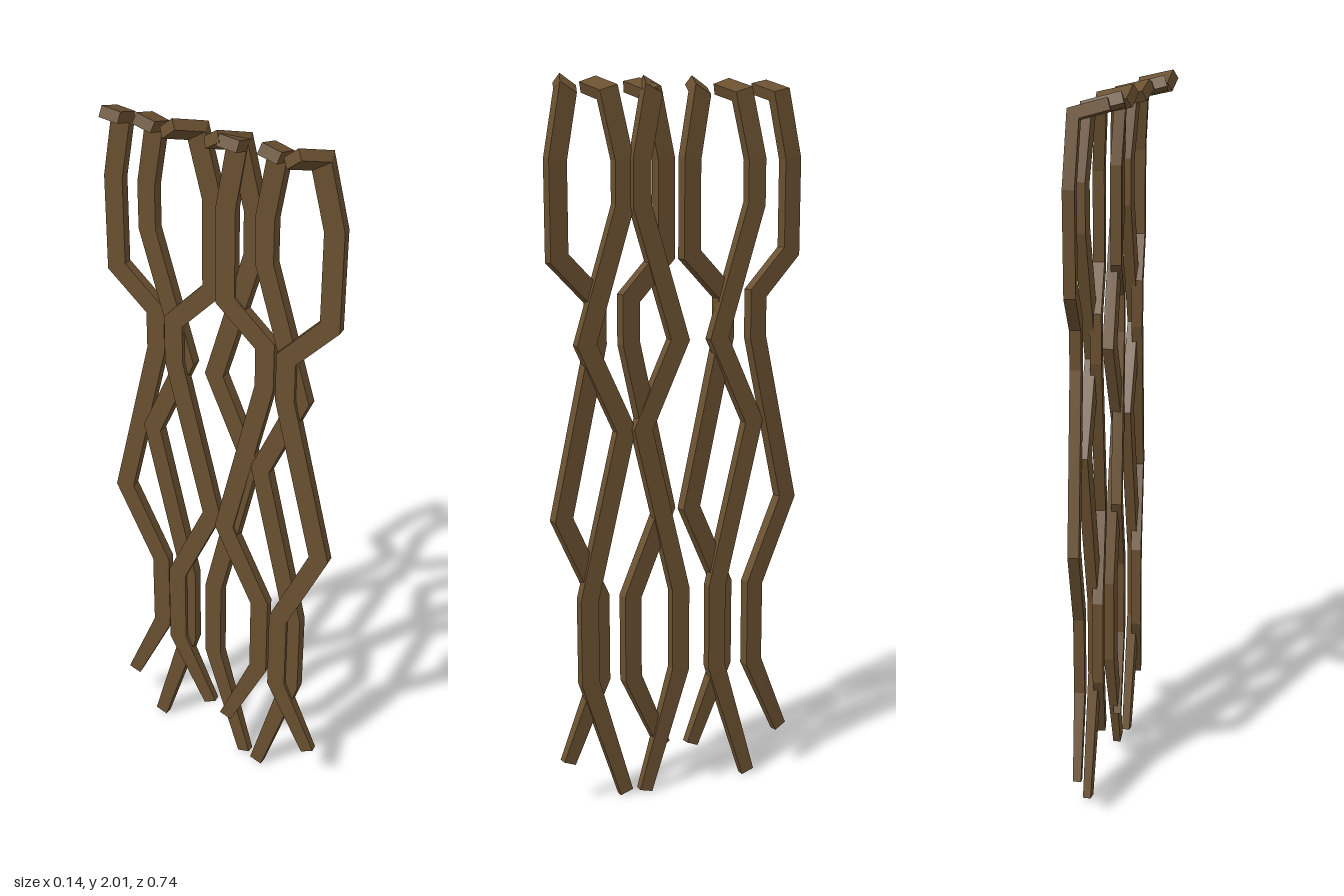
import * as THREE from 'three';

const WIDTH = 0.053, THICK = 0.03;

// Sweeps a rectangular bar along a polyline with mitred corners; the first ring is tapered.
function mitredBar(points, widthDir, taper) {
  const dirs = points.slice(1).map((p, i) => p.clone().sub(points[i]).normalize());
  const w = widthDir.clone().addScaledVector(dirs[0], -widthDir.dot(dirs[0])).normalize();
  const t = dirs[0].clone().cross(w);
  const corners = [[1, 1], [-1, 1], [-1, -1], [1, -1]];
  let ring = corners.map(([a, b]) => points[0].clone()
    .addScaledVector(w, a * WIDTH / 2).addScaledVector(t, b * THICK / 2));
  const rings = [ring];
  for (let i = 1; i < points.length; i++) {
    const d = dirs[i - 1];
    const n = d.clone().add(dirs[i] ?? d).normalize();
    ring = ring.map(c => c.clone().addScaledVector(d, points[i].clone().sub(c).dot(n) / d.dot(n)));
    rings.push(ring);
  }
  rings[0] = rings[0].map(c => c.clone().lerp(points[0], 1 - taper));

  const index = [0, 2, 1, 0, 3, 2];
  for (let i = 0; i < rings.length - 1; i++) {
    for (let j = 0; j < 4; j++) {
      const a = i * 4 + j, b = i * 4 + (j + 1) % 4;
      index.push(a, b, b + 4, a, b + 4, a + 4);
    }
  }
  const e = (rings.length - 1) * 4;
  index.push(e, e + 1, e + 2, e, e + 2, e + 3);
  const geo = new THREE.BufferGeometry().setFromPoints(rings.flat());
  geo.setIndex(index);
  const flat = geo.toNonIndexed();
  flat.computeVertexNormals();
  return flat;
}

// Zigzag paths as [sideways offset, height], from the loose tip up to the hook.
const shortPath = [[0.048, 0.13], [-0.055, 0.36], [-0.055, 0.6], [0.055, 0.84], [-0.055, 1.31],
  [-0.055, 1.43], [0.055, 1.54], [0.055, 1.79], [0.02, 1.96]];
const longPath = [[0.052, 0.005], [-0.057, 0.36], [-0.057, 0.6], [0.057, 1.07], [-0.055, 1.31],
  [0.057, 1.67], [0.057, 1.79], [0.02, 1.96]];

export function createModel() {
  const model = new THREE.Group();
  model.name = 'hangingStrands';
  const brown = new THREE.MeshStandardMaterial({ color: 0x6a5030 });
  brown.name = 'brown';

  function addStrand(name, path, z, side, slope) {
    const points = path.map(([u, y]) =>
      new THREE.Vector3(0.035 + slope * side * u, y, z + side * u));
    points.at(-1).x -= 0.01;
    // hook tip reaching towards -x
    points.push(new THREE.Vector3(-0.06, 1.982, z - side * 0.005));
    const mesh = new THREE.Mesh(mitredBar(points, new THREE.Vector3(slope, 0, 1), 0.75), brown);
    mesh.name = name;
    model.add(mesh);
  }

  // Four shorter strands, in mirrored pairs
  [[0.282, 1], [0.087, -1], [-0.087, 1], [-0.282, -1]].forEach(([z, side], i) =>
    addStrand(`shortStrand${i + 1}`, shortPath, z, side, 0.24));

  // Three longer strands crossing between them
  [[0.207, -1], [0.048, 1], [-0.172, -1]].forEach(([z, side], i) =>
    addStrand(`longStrand${i + 1}`, longPath, z, side, 0.11));

  return model;
}
